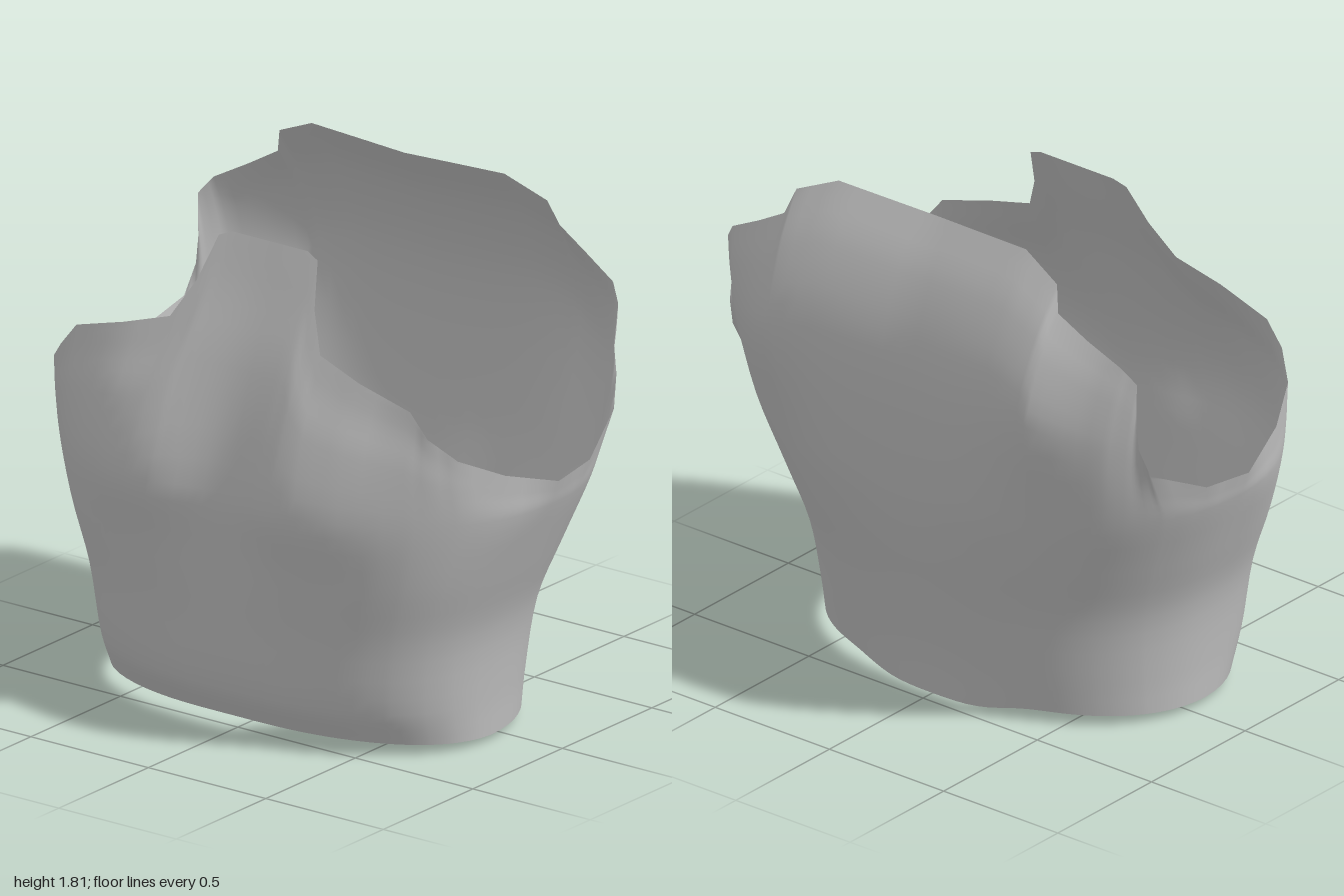
import * as THREE from 'three';

// Half of the upper edge, front centre to back centre: [angle around the body, x, y, z]
const RIM = [
  [0, 0, 1.7, 0.32], [8, 0.16, 1.7, 0.32], [11, 0.21, 1.68, 0.33], [14, 0.25, 1.53, 0.4],
  [20, 0.32, 1.4, 0.46], [30, 0.5, 1.345, 0.48], [46, 0.71, 1.285, 0.47], [54, 0.78, 1.2, 0.465],
  [62, 0.86, 1.12, 0.4], [74, 0.94, 1.04, 0.24], [90, 1, 0.97, 0.02], [101, 0.98, 0.985, -0.18],
  [114, 0.915, 1.09, -0.4], [119, 0.895, 1.2, -0.44], [123, 0.885, 1.3, -0.44], [127, 0.895, 1.45, -0.45],
  [133, 0.85, 1.51, -0.48], [141, 0.72, 1.58, -0.5], [149, 0.6, 1.65, -0.51], [153, 0.57, 1.74, -0.48],
  [162, 0.41, 1.81, -0.45], [171, 0.2, 1.805, -0.44], [180, 0, 1.8, -0.43],
];

// Body cross-sections: [y, half width, centre z,
//   front z, front squareness, chest dip, back z, back squareness, spine dip]
const RINGS = [
  [0.02, 0.76, 0.08, 0.535, 2.3, 0.01, -0.45, 2.25, 0],
  [0.16, 0.765, 0.08, 0.585, 2.5, 0.01, -0.48, 2.25, 0.01],
  [0.42, 0.795, 0.07, 0.61, 2.7, 0.01, -0.54, 2.25, 0.015],
  [0.65, 0.88, 0.045, 0.65, 2.6, 0.04, -0.6, 2.3, 0.02],
  [0.88, 0.97, 0.02, 0.71, 2.2, 0.1, -0.645, 2.4, 0.03],
];
const ROWS = 28, SPLIT = 3;

function ringPoint(deg, [y, width, centre, frontZ, frontPower, chestDip, backZ, backPower, spineDip], index) {
  const a = THREE.MathUtils.degToRad(deg);
  const c = Math.cos(a), isFront = c > 0;
  const power = isFront ? frontPower : backPower;
  const x = deg === 180 ? 0 : width * Math.pow(Math.sin(a), 2 / power);
  const valley = Math.exp(-Math.pow(x / 0.24, 2));
  const depth = Math.pow(Math.abs(c), 2 / power);
  const z = isFront
    ? centre + (frontZ - centre) * depth - chestDip * valley
    : centre + (backZ - centre) * depth + spineDip * valley;
  // the hem rises at front and back, with a short tail behind
  const tail = 0.045 * Math.exp(-Math.pow(x / 0.3, 4));
  const hem = index > 0 ? 0 : isFront ? 0.03 * c : -0.025 * c - tail;
  return new THREE.Vector3(x, y + hem, z);
}

// One vertical strip of the shell, from the hem to the upper edge
function column(deg, rim) {
  const points = RINGS.map((ring, i) => ringPoint(deg, ring, i));
  const chest = points[points.length - 1];
  const back = THREE.MathUtils.smoothstep(deg, 114, 156);
  const front = 1 - THREE.MathUtils.smoothstep(deg, 25, 75);
  const blade = Math.exp(-Math.pow((deg - 150) / 16, 2));
  for (const [t, backBulge, frontBulge, bladeBulge] of [[0.5, 0.105, 0.03, 0.02], [0.8, 0.078, 0.01, 0.005]]) {
    const p = chest.clone().lerp(rim, t);
    p.z += front * frontBulge - back * backBulge - blade * bladeBulge;
    points.push(p);
  }
  points.push(rim);
  return new THREE.CatmullRomCurve3(points).getPoints(ROWS);
}

function shellGeometry() {
  // columns of one half, with extra ones between the edge corners
  const half = [];
  RIM.forEach(([deg, ...p], i) => {
    const from = new THREE.Vector3(...p);
    if (i === RIM.length - 1) return half.push(column(deg, from));
    const [nextDeg, ...q] = RIM[i + 1];
    const to = new THREE.Vector3(...q);
    for (let k = 0; k < SPLIT; k++) {
      const t = k / SPLIT;
      half.push(column(deg + (nextDeg - deg) * t, from.clone().lerp(to, t)));
    }
  });
  // mirrored half closes the loop
  const mirrored = half.slice(1, -1).reverse()
    .map(col => col.map(p => new THREE.Vector3(-p.x, p.y, p.z)));
  const columns = [...half, ...mirrored];

  const index = [], n = columns.length, stride = ROWS + 1;
  for (let i = 0; i < n; i++) {
    for (let j = 0; j < ROWS; j++) {
      const a = i * stride + j, b = ((i + 1) % n) * stride + j;
      index.push(a, b, b + 1, a, b + 1, a + 1);
    }
  }
  const geometry = new THREE.BufferGeometry().setFromPoints(columns.flat());
  geometry.setIndex(index);
  geometry.computeVertexNormals();
  return geometry;
}

export function createModel() {
  const steel = new THREE.MeshStandardMaterial({ color: 0xbcbcbc, side: THREE.DoubleSide });
  steel.name = 'grey steel';

  const group = new THREE.Group();
  group.name = 'torsoArmour';
  const shell = new THREE.Mesh(shellGeometry(), steel);
  shell.name = 'breastAndBackPlate';
  group.add(shell);
  return group;
}
